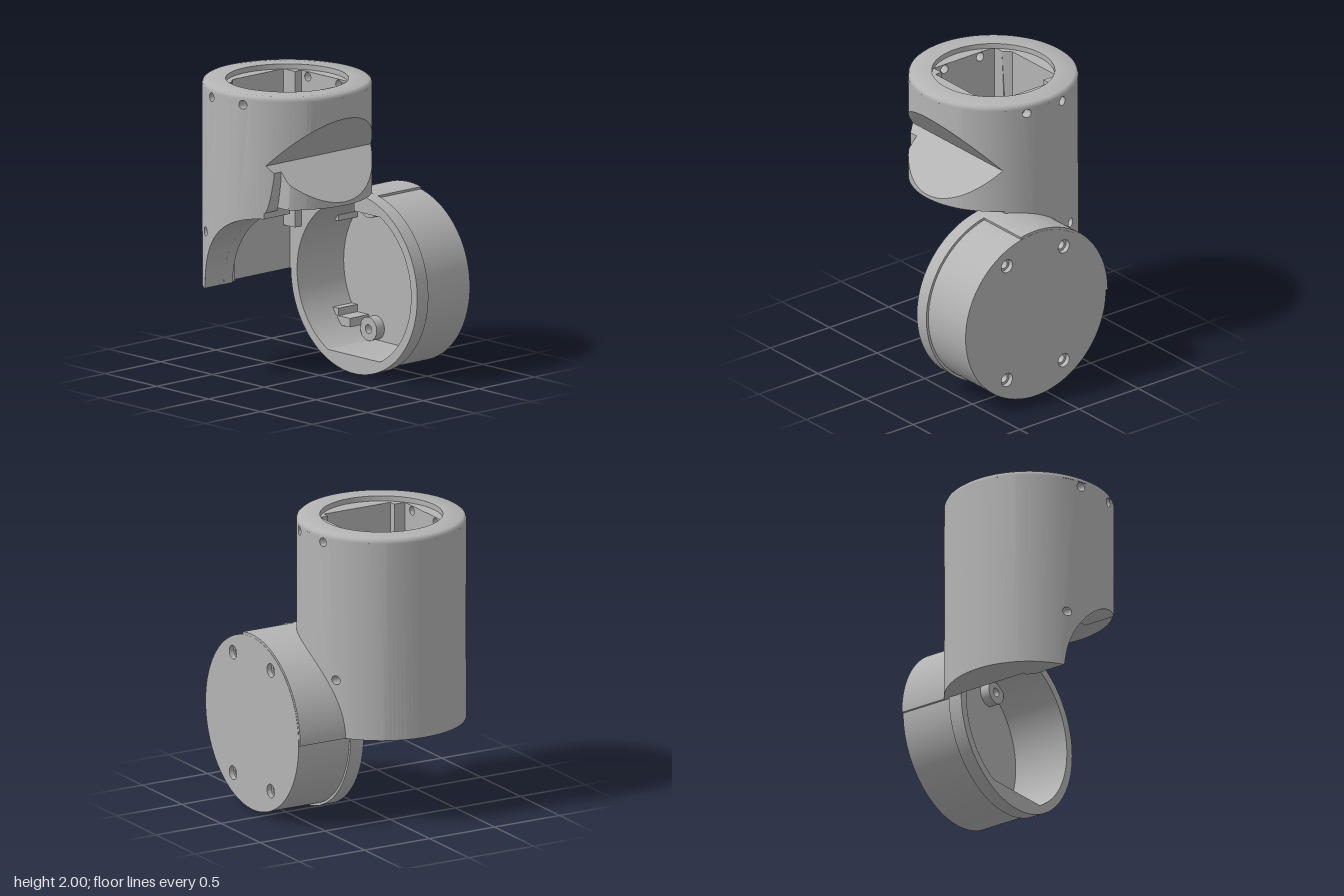
import * as THREE from 'three';
import { mergeGeometries, toCreasedNormals } from 'three/addons/utils/BufferGeometryUtils.js';

const CX = -0.18, CZ = 0.125, R = 0.56;      // upright sleeve
const HX = 0.117, HY = 0.61;                 // round housing, axis along z
const TOP = 1.965;                           // floor of the shallow top recess
const CRE = 0.5;

const chord = x => Math.max(0.001, Math.sqrt(Math.max(0, R * R - (x - CX) ** 2)));
const front = x => CZ + chord(x), back = x => CZ - chord(x);
const arcY = (x, r) => HY + Math.sqrt(Math.max(0, r * r - (x - HX) ** 2));
const cut = x => arcY(x, 0.56);
const notchUp = x => 1.53 + Math.max(0, x - 0.12) * 1.115;
const notchLow = x => 1.53 - Math.max(0, x - 0.12) * 1.04;
const k = v => () => v;

// x positions spaced evenly round the sleeve
function spread(a, b, n, extra = []) {
  const pa = Math.acos(Math.max(-1, (a - CX) / R)), pb = Math.acos(Math.min(1, (b - CX) / R));
  const xs = [...extra];
  for (let i = 0; i <= n; i++) xs.push(CX + R * Math.cos(pa + (pb - pa) * i / n));
  return xs.sort((p, q) => p - q);
}

// Solid made of narrow strips along x, with its four sides given as functions of x
function slab(xs, yLo, yHi, zLo, zHi, holes = []) {
  const W = 0.045;
  const pts = xs.filter(x => !holes.some(h => Math.abs(x - h[0]) < W));
  new Set(holes.map(h => h[0])).forEach(x => pts.push(x - W, x + W));
  pts.sort((a, b) => a - b);
  const parts = [];
  for (let i = 0; i + 1 < pts.length; i++) {
    const a = pts[i], b = pts[i + 1];
    if (b - a < 1e-5) continue;
    const mine = holes.filter(h => h[0] > a && h[0] < b);
    const m = mine.length ? 10 : 2;
    const s = new THREE.Shape();
    s.moveTo(a, yLo(a));
    for (let j = 1; j <= m; j++) {
      const x = a + (b - a) * j / m;
      s.lineTo(x, yLo(x));
    }
    s.lineTo(b, yHi(b));
    s.lineTo(a, yHi(a));
    for (const [x, y] of mine) s.holes.push(new THREE.Path().absarc(x, y, 0.03, 0, Math.PI * 2));
    const g = new THREE.ExtrudeGeometry(s, { depth: 1, bevelEnabled: false, curveSegments: 16 });
    const p = g.attributes.position;
    for (let v = 0; v < p.count; v++) {
      const x = p.getX(v), t = p.getZ(v);
      p.setZ(v, zLo(x) * (1 - t) + zHi(x) * t);
    }
    parts.push(g);
  }
  return toCreasedNormals(mergeGeometries(parts), CRE);
}

// Flat shape about the housing axis, extruded from z0 to z1
function plate(shape, z0, z1) {
  const g = new THREE.ExtrudeGeometry(shape, { depth: z1 - z0, bevelEnabled: false, curveSegments: 64 });
  g.translate(HX, HY, z0);
  return toCreasedNormals(g, CRE);
}
const disc = r => new THREE.Shape().absarc(0, 0, r, 0, Math.PI * 2);
const ringHole = (x, y, r) => new THREE.Path().absarc(x, y, r, 0, Math.PI * 2);

export function createModel() {
  const group = new THREE.Group();
  const grey = new THREE.MeshStandardMaterial({ color: 0xb4b4b4 });
  grey.name = 'plain grey';
  const add = (name, geo) => {
    const m = new THREE.Mesh(geo, grey);
    m.name = name;
    group.add(m);
    return m;
  };
  const box = (name, x0, x1, y0, y1, z0, z1) =>
    add(name, new THREE.BoxGeometry(x1 - x0, y1 - y0, z1 - z0))
      .position.set((x0 + x1) / 2, (y0 + y1) / 2, (z0 + z1) / 2);

  // Sleeve: round outside, square bore
  const screws = [[-0.33, 1.93], [-0.03, 1.93], [-0.43, 1.0]];
  const midXs = spread(-0.5, 0.11, 24);
  add('sleeveLeftSide', slab(spread(CX - R, -0.5, 20), k(HY), k(TOP), back, front));
  add('sleeveFrontWall', slab(midXs, cut, k(TOP), k(0.45), front, screws));
  add('sleeveBackWall', slab(midXs, cut, k(TOP), back, k(-0.2), screws));
  const rightXs = spread(0.11, CX + R, 20, [0.12]);
  add('sleeveRightSide', slab(rightXs, notchUp, k(TOP), back, front));

  // Wedge below the notch, and the rounded lip in front of it
  add('notchWedge', slab(rightXs, k(1.235), notchLow, back, x => Math.min(front(x), 0.5)));
  const lip = x => 1.21 + 0.24 * ((x - 0.11) / 0.055) ** 2;
  add('notchLip', slab([0.11, 0.12, 0.13, 0.14, 0.15, 0.158, 0.165], lip, notchLow, k(0.49), front));

  // Top rim with a softened edge
  const rim = new THREE.LatheGeometry([
    [0.56, TOP], [0.56, 1.975], [0.554, 1.99], [0.54, 2], [0.405, 2], [0.405, TOP],
  ].map(p => new THREE.Vector2(...p)), 96);
  rim.translate(CX, 0, CZ);
  add('topRim', toCreasedNormals(rim, 0.7));

  // Inside of the square bore
  add('boreFrontLiner', slab(spread(-0.45, 0.06, 16, [-0.44, -0.43]), cut, x => arcY(x, 0.66), k(0.37), k(0.45)));
  add('boreFrontLeftCorner', slab([-0.5, -0.45], k(HY), k(TOP), x => 0.32 + (x < -0.47 ? 0 : 0.05), k(0.45)));
  add('boreFrontRightCorner', slab([0.06, 0.085, 0.11], cut, k(TOP), k(0.37), k(0.45)));
  box('boreBackPost', -0.5, -0.39, 0.91, TOP, -0.2, -0.14);
  box('boreBackPost', 0.06, 0.11, 1.18, TOP, -0.2, -0.14);

  // Seats inside the screw holes
  for (const [x, y] of screws) {
    for (const side of [1, -1]) {
      const seat = add('screwSeat', new THREE.RingGeometry(0.015, 0.032, 20));
      seat.position.set(x, y, CZ + side * (chord(x) - 0.06));
      if (side < 0) seat.rotation.y = Math.PI;
    }
  }

  // Housing cavity: round with flats at top and bottom
  const a = Math.acos(0.49 / 0.55);
  const cavity = new THREE.Path();
  cavity.absarc(0, 0, 0.55, a - Math.PI / 2, Math.PI / 2 - a);
  cavity.lineTo(0, 0.49);
  cavity.absarc(0, 0, 0.55, Math.PI / 2, Math.PI * 1.5 - a);
  const hollow = r => {
    const s = disc(r);
    s.holes.push(cavity);
    return s;
  };
  add('housingFlange', plate(hollow(0.61), -0.3, -0.2));
  add('housingWall', plate(hollow(0.593), -0.655, -0.3));

  // Thicker outer band on the sleeve side
  const s0 = Math.PI * 0.435, band = new THREE.Shape();
  band.absarc(0, 0, 0.61, s0, Math.PI);
  band.absarc(0, 0, 0.575, Math.PI, s0, true);
  add('housingBand', plate(band, -0.688, -0.3));

  // Floor in two layers so the screw holes widen at the back
  const bolts = [];
  for (const y of [-0.405, 0.425]) for (const x of [-0.237, 0.243]) bolts.push([x, y]);
  const floor = (r, hole) => {
    const s = disc(r);
    bolts.forEach(([x, y]) => s.holes.push(ringHole(x, y, hole)));
    return s;
  };
  add('housingFloor', plate(floor(0.57, 0.03), -0.655, -0.62));
  add('housingBack', plate(floor(0.593, 0.047), -0.69, -0.655));
  for (const [x, y] of bolts) {
    const boss = new THREE.Shape().absarc(x, y, 0.08, 0, Math.PI * 2);
    boss.holes.push(ringHole(x, y, 0.03));
    add('screwBoss', plate(boss, -0.62, -0.55));
  }

  // Stepped blocks beside the bosses
  box('stepBlock', -0.31, -0.19, 0.22, 0.28, -0.62, -0.45);
  box('stepBlock', -0.36, -0.3, 0.28, 0.33, -0.62, -0.45);
  box('stepBlock', -0.36, -0.3, 0.92, 0.96, -0.62, -0.45);
  return group;
}
